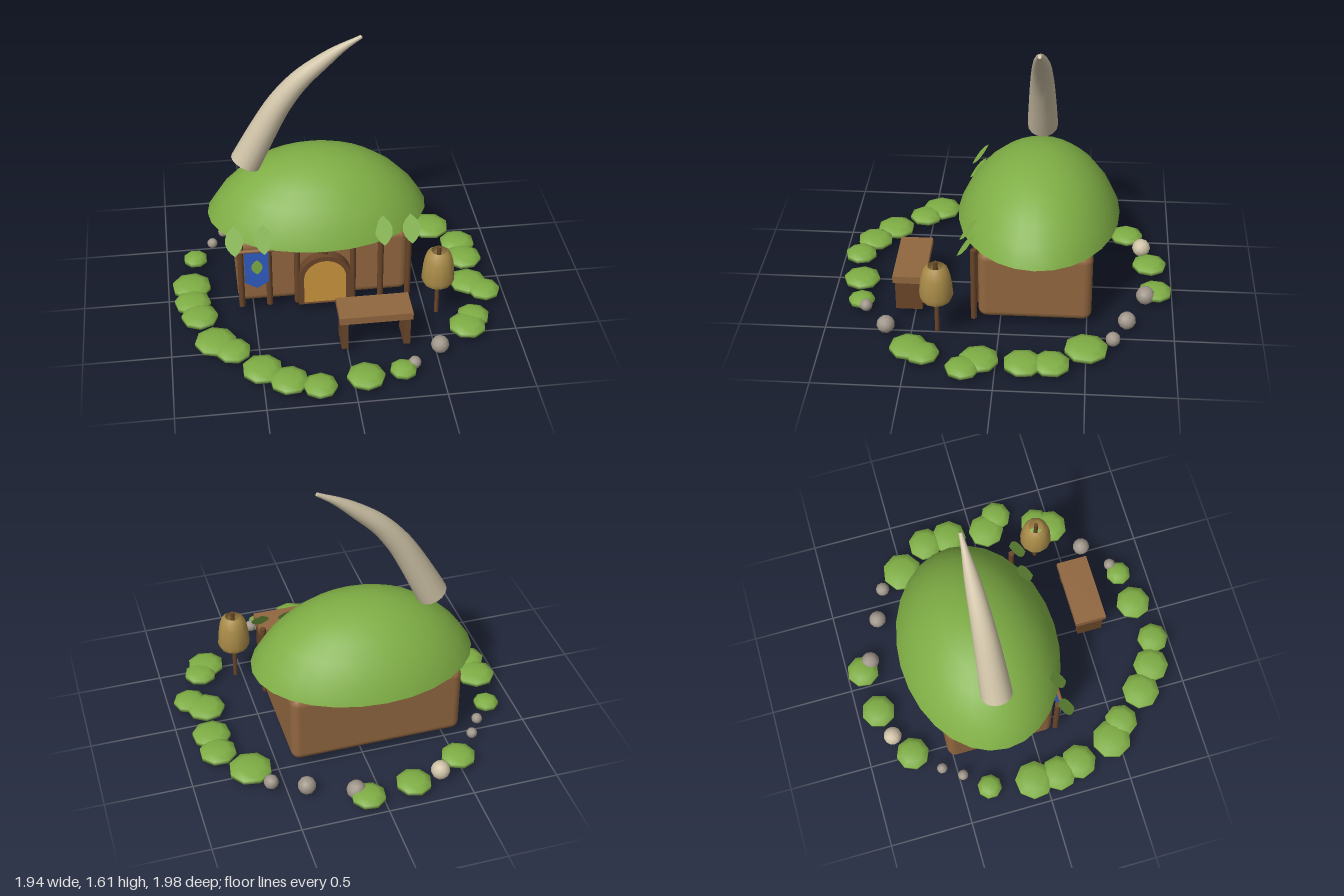
import * as THREE from 'three';
import { RoundedBoxGeometry } from 'three/addons/geometries/RoundedBoxGeometry.js';

const material = (name, color, side = THREE.FrontSide) => {
  const m = new THREE.MeshStandardMaterial({ color, side });
  m.name = name;
  return m;
};

export function createModel() {
  const model = new THREE.Group();
  const green = material('leaf green', 0x7fae45, THREE.DoubleSide);
  const wood = material('wood brown', 0x90663f);
  const darkWood = material('dark wood', 0x694529);
  const ochre = material('door ochre', 0xcb943d);
  const ivory = material('ivory', 0xd0c4a8);
  const straw = material('straw', 0xa98b48, THREE.DoubleSide);
  const blue = material('banner blue', 0x2f5cc0, THREE.DoubleSide);
  const grey = material('stone grey', 0xa0968a);

  const add = (name, geometry, mat, x = 0, y = 0, z = 0) => {
    const mesh = new THREE.Mesh(geometry, mat);
    mesh.name = name;
    mesh.position.set(x, y, z);
    model.add(mesh);
    return mesh;
  };
  const post = (name, r, y0, y1, x, z) =>
    add(name, new THREE.CylinderGeometry(r, r, y1 - y0, 8), darkWood, x, (y0 + y1) / 2, z);

  // House body and domed grass roof
  add('houseBody', new RoundedBoxGeometry(1.01, 0.44, 0.65, 4, 0.05), wood, -0.085, 0.28, -0.2);
  const cap = 1.13;
  const roofHeight = 0.38 / (1 - Math.cos(cap));
  const roofGeometry = new THREE.SphereGeometry(1, 28, 6, 0, Math.PI * 2, 0, cap);
  roofGeometry.scale(0.65 / Math.sin(cap), roofHeight, 0.473 / Math.sin(cap));
  add('roof', roofGeometry, green, -0.085, 0.88 - roofHeight, -0.2);

  // Curved tapering horn, closed at both ends
  const hornPath = new THREE.CatmullRomCurve3([
    [-0.5, 0.84], [-0.37, 1.09], [-0.29, 1.225], [-0.18, 1.36], [-0.05, 1.47], [0.06, 1.55], [0.175, 1.615],
  ].map(([x, y]) => new THREE.Vector3(x, y, 0)));
  const steps = 24, sides = 16;
  const hornRadius = new THREE.SplineCurve([
    [0, 0.091], [0.3, 0.08], [0.55, 0.065], [0.75, 0.044], [1, 0.011],
  ].map(([t, r]) => new THREE.Vector2(t, r)));
  const horn = new THREE.TubeGeometry(hornPath, steps, 1, sides);
  const p = horn.attributes.position, v = new THREE.Vector3();
  for (let i = 0; i < p.count; i++) {
    const t = Math.floor(i / (sides + 1)) / steps;
    const c = hornPath.getPointAt(t);
    v.fromBufferAttribute(p, i).sub(c).multiplyScalar(hornRadius.getPoint(t).y).add(c);
    p.setXYZ(i, v.x, v.y, v.z);
  }
  add('horn', horn, ivory, 0, 0, -0.2);
  for (const [t, r, dir] of [[0, 0.091, -1], [1, 0.011, 1]]) {
    const c = hornPath.getPointAt(t);
    const end = add('hornEnd', new THREE.CircleGeometry(r, sides), ivory, c.x, c.y, -0.2);
    end.quaternion.setFromUnitVectors(new THREE.Vector3(0, 0, 1), hornPath.getTangentAt(t).multiplyScalar(dir));
  }

  // Row of posts along the front wall
  for (let i = 0; i < 7; i++) post('wallPost', 0.018, 0.06, 0.525, -0.57 + i * 0.164, 0.148);

  // Leaves on the outer posts
  const leafShape = (w, h) => {
    const s = new THREE.Shape();
    s.moveTo(0, -h / 2);
    s.bezierCurveTo(w * 0.45, -h * 0.3, w * 0.85, h * 0.1, 0, h / 2);
    s.bezierCurveTo(-w * 0.85, h * 0.1, -w * 0.45, -h * 0.3, 0, -h / 2);
    return s;
  };
  for (const x of [-0.603, -0.435, 0.258, 0.42]) {
    add('postLeaf', new THREE.ShapeGeometry(leafShape(0.105, 0.175), 6), green, x, 0.558, 0.188).rotation.x = -0.64;
  }

  // Arched door with a surround
  const arch = (r, bottom, spring, Type = THREE.Shape) => {
    const s = new Type();
    s.moveTo(-r, bottom);
    s.lineTo(r, bottom);
    s.lineTo(r, spring);
    s.absarc(0, spring, r, 0, Math.PI, false);
    s.lineTo(-r, bottom);
    return s;
  };
  const slab = (shape, depth) => new THREE.ExtrudeGeometry(shape, { depth, bevelEnabled: false, curveSegments: 16 });
  add('door', slab(arch(0.125, 0.06, 0.243), 0.06), ochre, -0.082, 0, 0.11);
  const frame = arch(0.155, 0.06, 0.243);
  frame.holes.push(arch(0.124, 0.061, 0.243, THREE.Path));
  add('doorFrame', slab(frame, 0.075), darkWood, -0.082, 0, 0.11);

  // Hanging banner with a painted leaf
  const cloth = new THREE.Shape();
  cloth.moveTo(-0.07, 0.47);
  cloth.lineTo(-0.07, 0.25);
  cloth.lineTo(0, 0.208);
  cloth.lineTo(0.07, 0.25);
  cloth.lineTo(0.07, 0.47);
  add('banner', slab(cloth, 0.008), blue, -0.48, 0, 0.174);
  add('bannerLeaf', slab(leafShape(0.064, 0.1), 0.003), green, -0.478, 0.36, 0.182);
  add('bannerRod', new THREE.CylinderGeometry(0.011, 0.011, 0.205, 8), wood, -0.48, 0.473, 0.178).rotation.z = Math.PI / 2;

  // Bench
  add('benchSeat', new THREE.BoxGeometry(0.417, 0.045, 0.19), wood, 0.157, 0.265, 0.525);
  for (const x of [-0.02, 0.335]) {
    add('benchLeg', new THREE.BoxGeometry(0.038, 0.185, 0.155), darkWood, x, 0.15, 0.53);
  }

  // Straw hive on a pole, open at top and bottom
  post('hivePole', 0.013, 0.06, 0.53, 0.553, 0.345);
  const hive = [[0.084, 0.285], [0.097, 0.32], [0.091, 0.39], [0.083, 0.44], [0.068, 0.485], [0.045, 0.505]];
  add('hive', new THREE.LatheGeometry(hive.map(([r, y]) => new THREE.Vector2(r, y)), 12), straw, 0.553, 0, 0.345);

  // Ring of low bushes: x, z, radius
  const bushes = [
    [-0.5, -0.735, 0.105], [-0.185, -0.87, 0.107], [0.09, -0.9, 0.103], [-0.825, -0.34, 0.077],
    [-0.86, -0.07, 0.122], [-0.86, 0.085, 0.112], [-0.825, 0.22, 0.112], [-0.745, 0.455, 0.125],
    [-0.65, 0.545, 0.105], [-0.5, 0.72, 0.12], [-0.36, 0.83, 0.114], [-0.195, 0.895, 0.1],
    [0.065, 0.85, 0.112], [0.28, 0.82, 0.08], [0.665, -0.5, 0.13], [0.81, -0.31, 0.112],
    [0.815, -0.155, 0.117], [0.795, 0.09, 0.117], [0.875, 0.175, 0.1], [0.76, 0.41, 0.1], [0.71, 0.49, 0.114],
  ];
  bushes.forEach(([x, z, r], i) => {
    const bush = add('bush', new THREE.SphereGeometry(1, 8, 5), green, x, 0.058, z);
    bush.scale.set(r, 0.038, r);
    bush.rotation.y = i * 1.7;
  });

  // Loose stones: x, z, radius
  const stones = [
    [-0.36, -0.825, 0.056], [0.143, -0.84, 0.056], [0.397, -0.73, 0.053], [0.582, -0.65, 0.043],
    [-0.64, -0.587, 0.032], [-0.714, -0.476, 0.032], [0.35, 0.783, 0.037], [0.52, 0.645, 0.053],
  ];
  stones.forEach(([x, z, r], i) => {
    const stone = add('stone', new THREE.IcosahedronGeometry(r, 1), i === 0 ? ivory : grey, x, r > 0.05 ? 0.066 : 0.07, z);
    stone.rotation.set(i, i * 2, 0);
  });

  return model;
}
